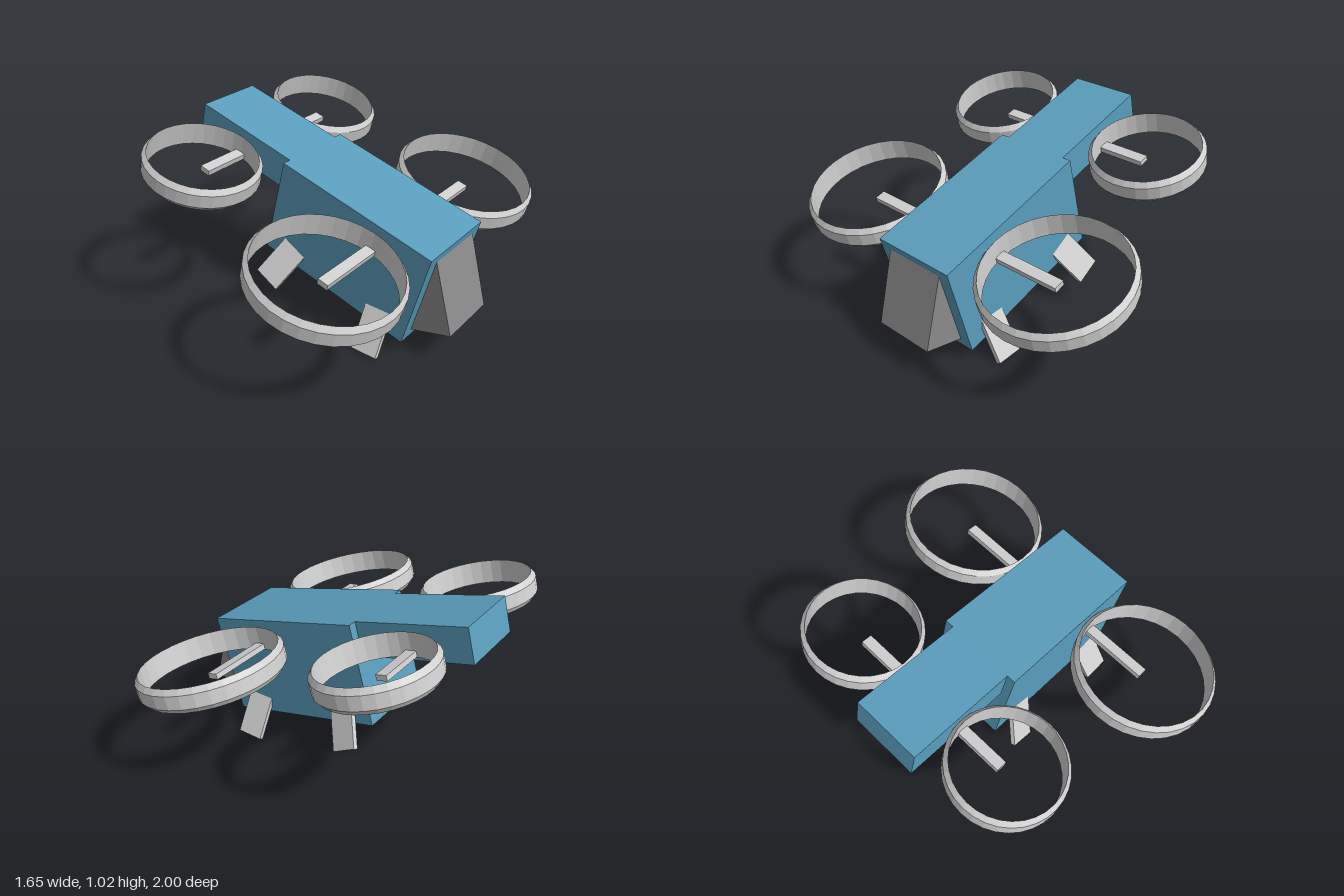
import * as THREE from 'three';

export function createModel() {
  const model = new THREE.Group();
  model.name = 'quadRotorCraft';

  const mat = (name, color) => {
    const m = new THREE.MeshStandardMaterial({ color, flatShading: true });
    m.name = name;
    return m;
  };
  const blue = mat('hull blue', 0x5a9dbc);
  const light = mat('light grey', 0xcfcfcf);
  const dark = mat('dark grey', 0x8a8a8a);

  const add = (parent, name, geometry, material, x = 0, y = 0, z = 0) => {
    const mesh = new THREE.Mesh(geometry, material);
    mesh.name = name;
    mesh.position.set(x, y, z);
    parent.add(mesh);
    return mesh;
  };

  // Hull assembly, pitched nose down
  const hull = new THREE.Group();
  hull.name = 'hull';
  hull.position.set(0.2025, 0.47, 0);
  hull.rotation.z = -Math.PI / 12;
  model.add(hull);

  const L = 0.93, H = 0.56, tailL = 0.626, tailH = 0.186;
  add(hull, 'body', new THREE.BoxGeometry(L, H, 0.47), blue);
  add(hull, 'tail', new THREE.BoxGeometry(tailL, tailH, 0.374), blue,
    -(L + tailL) / 2, (H - tailH) / 2, 0);

  // Rotor guard: flat inner wall, bevelled outer wall
  const ringGeometry = (r) => new THREE.LatheGeometry([
    [r - 0.022, -0.064], [r, -0.036], [r, 0.036],
    [r - 0.022, 0.064], [r - 0.022, -0.064],
  ].map(([x, y]) => new THREE.Vector2(x, y)), 32);

  const rotors = [
    { name: 'front', x: 0.158, z: 0.6175, r: 0.3825, reach: 0.627 },
    { name: 'rear', x: -0.777, z: 0.49, r: 0.305, reach: 0.468 },
  ];
  for (const { name, x, z, r, reach } of rotors) {
    for (const s of [1, -1]) {
      add(hull, name + 'RotorRing', ringGeometry(r), light, x, 0.187, s * z);
      // Arm from inside the hull to the ring centre
      const len = reach - 0.15;
      add(hull, name + 'RotorArm', new THREE.BoxGeometry(0.06, 0.03, len), light,
        x, 0.141, s * (0.15 + len / 2));
    }
  }

  // Wedge on the nose
  const wedge = new THREE.Shape([
    new THREE.Vector2(0.594, 0.13), new THREE.Vector2(0.82, 0.19), new THREE.Vector2(0.715, 0.58),
  ]);
  add(model, 'noseWedge',
    new THREE.ExtrudeGeometry(wedge, { depth: 0.34, bevelEnabled: false }), dark, 0, 0, -0.17);

  // Splayed legs, the rear pair swept back
  const legs = [
    { name: 'frontLeg', x: 0.43, y: 0, sweep: 0 },
    { name: 'rearLeg', x: -0.23, y: 0.183, sweep: -Math.PI / 6 },
  ];
  for (const { name, x, y, sweep } of legs) {
    for (const s of [1, -1]) {
      const leg = new THREE.Group();
      leg.name = name;
      leg.position.set(x, y, 0);
      leg.rotation.z = sweep;
      model.add(leg);
      const slab = add(leg, name + 'Slab', new THREE.BoxGeometry(0.15, 0.3, 0.027), light,
        0, 0.137, s * 0.269);
      slab.rotation.x = -s * Math.PI / 6;
    }
  }

  return model;
}
